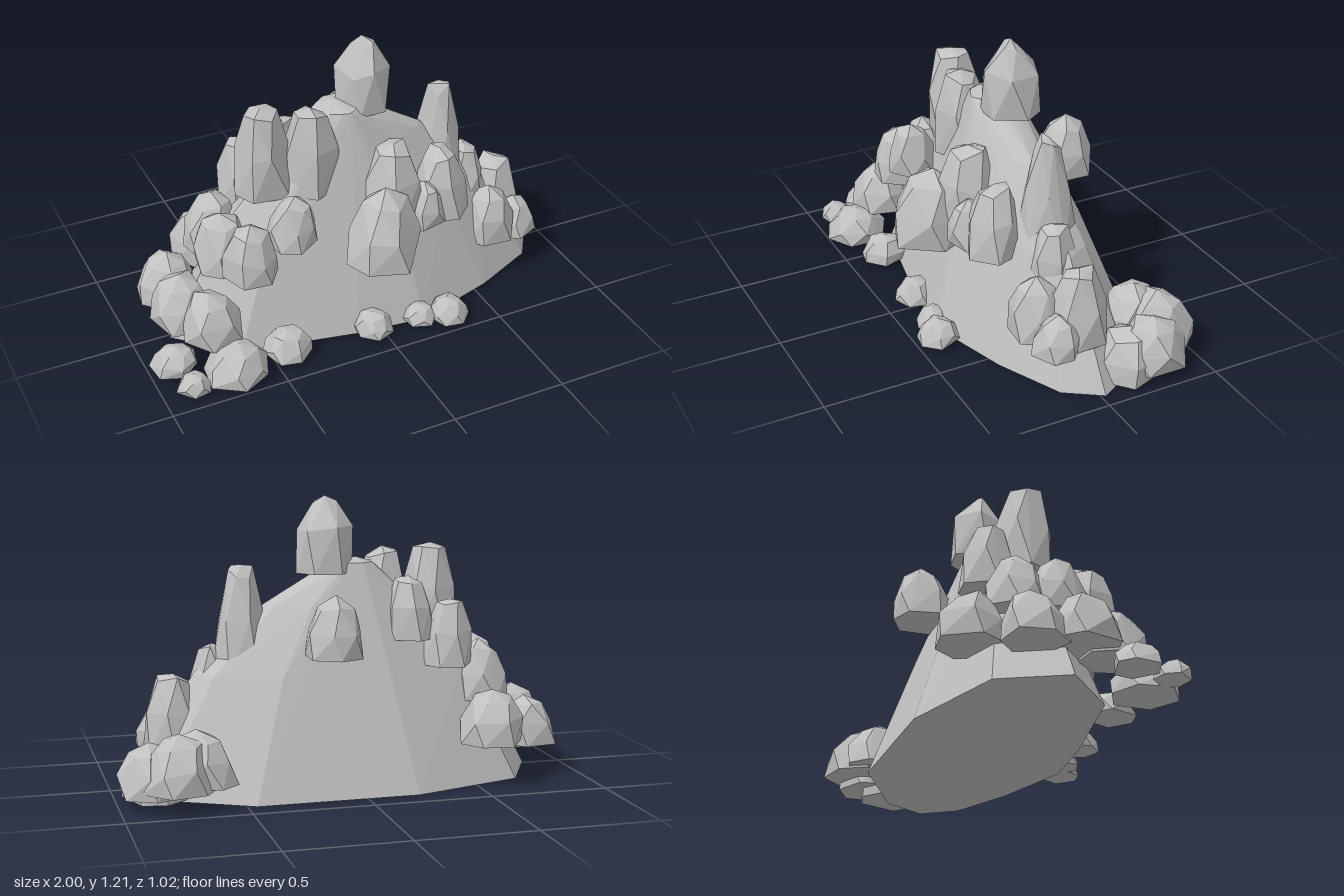
import * as THREE from 'three';
import { ConvexGeometry } from 'three/addons/geometries/ConvexGeometry.js';

const stone = new THREE.MeshStandardMaterial({ color: 0xc0c0c0 });
stone.name = 'stone grey';

function seeded(seed) {
  let s = seed * 7919 + 17;
  const next = () => (s = (s * 16807) % 2147483647) / 2147483647;
  for (let i = 0; i < 5; i++) next();
  return next;
}

function hull(name, points) {
  const mesh = new THREE.Mesh(new ConvexGeometry(points), stone);
  mesh.name = name;
  return mesh;
}

// Rock outlines: ring radius and height as fractions
const profiles = {
  boulder: [[1, 0], [0.93, 0.42], [0.6, 0.82]],
  crag: [[1, 0], [0.88, 0.5], [0.52, 0.92]],
  peak: [[1, 0], [0.93, 0.55], [0.42, 0.88]],
  spire: [[1, 0], [0.72, 0.5], [0.4, 0.94]],
};

// Flat-bottomed faceted rock with uneven rings and a leaning tip
function rock(name, profile, seed, x, y, z, radius, height) {
  const rnd = seeded(seed);
  const sides = 6, turn = rnd() * Math.PI * 2;
  const leanX = (rnd() - 0.5) * 0.3, leanZ = (rnd() - 0.5) * 0.3;
  const at = (angle, r, t) => new THREE.Vector3(
    x + radius * (Math.cos(angle) * r + leanX * t),
    y + height * t,
    z + radius * (Math.sin(angle) * r + leanZ * t));
  const points = [at(0, 0, 1)];
  profile.forEach(([r, t], ring) => {
    for (let i = 0; i < sides; i++) {
      const angle = turn + (i + (ring % 2) * 0.3 + (rnd() - 0.5) * 0.4) / sides * Math.PI * 2;
      const level = ring ? Math.min(t + (rnd() - 0.5) * 0.12, 0.99) : 0;
      points.push(at(angle, r * (1 + rnd() * 0.1), level));
    }
  });
  return hull(name, points);
}

// Rocks of one kind sharing a height-to-radius ratio; each spot is x, y, z, radius
function cluster(name, kind, ratio, spots) {
  const group = new THREE.Group();
  group.name = name + 'Group';
  spots.forEach(([x, y, z, r], i) =>
    group.add(rock(name, profiles[kind], name.length * 10 + i, x, y, z, r, r * ratio)));
  return group;
}

// Central mound: one footprint shrinking towards a narrow crest
function mound() {
  const footprint = [
    [-0.84, 0.02], [-0.7, -0.25], [-0.22, -0.4], [0.46, -0.4], [0.84, -0.2], [0.94, -0.02],
    [0.84, 0.13], [0.56, 0.26], [0.2, 0.37], [-0.1, 0.34], [-0.6, 0.24],
  ];
  const levels = [[0, 1, 1, 0], [0.48, 0.69, 0.6, 0], [0.76, 0.37, 0.36, 0], [0.93, 0.1, 0.24, -0.04]];
  const points = levels.flatMap(([y, sx, sz, shift]) =>
    footprint.map(([x, z]) => new THREE.Vector3(x * sx + shift, y, z * sz)));
  points.push(new THREE.Vector3(-0.05, 0.95, -0.02));
  return hull('mound', points);
}

export function createModel() {
  const group = new THREE.Group();
  group.name = 'rockyOutcrop';
  group.add(
    mound(),
    cluster('summitPeak', 'peak', 2.67, [[0.09, 0.89, -0.035, 0.12]]),
    cluster('rightSpire', 'spire', 3.75, [[0.445, 0.46, -0.015, 0.125]]),
    cluster('tallCrag', 'crag', 3, [[-0.19, 0.61, 0.045, 0.125], [-0.37, 0.61, -0.01, 0.13]]),
    cluster('crag', 'crag', 2.5, [
      [-0.26, 0.61, -0.12, 0.105], [-0.41, 0.5, -0.17, 0.11], [0.12, 0.46, 0.18, 0.135],
      [0.36, 0.42, 0.18, 0.12], [0.555, 0.35, 0.02, 0.1], [0.735, 0.17, 0, 0.125],
    ]),
    // boulders perched on the slopes
    cluster('slopeBoulder', 'boulder', 2.1, [
      [0.11, 0.57, -0.275, 0.122], [0.02, 0.35, 0.32, 0.155], [0.25, 0.42, 0.23, 0.095],
      [-0.355, 0.48, 0.22, 0.105], [-0.53, 0.36, 0.2, 0.115], [-0.59, 0.34, 0.05, 0.12],
      [-0.58, 0.34, -0.11, 0.12], [0.645, 0.18, 0.13, 0.12],
    ]),
    // boulders low on the flanks
    cluster('lowBoulder', 'boulder', 1.65, [
      [-0.57, 0.18, -0.29, 0.135], [-0.8, 0.13, -0.12, 0.125], [-0.8, 0.14, 0.08, 0.13],
      [-0.715, 0.13, 0.23, 0.125], [0.775, 0.16, 0.12, 0.1],
    ]),
    cluster('backBoulder', 'boulder', 1.5, [
      [0.67, 0.09, -0.305, 0.145], [0.77, 0.08, -0.36, 0.15],
      [0.855, 0.05, -0.28, 0.14], [0.835, 0.01, -0.19, 0.14],
    ]),
    // small stones along the front edge
    cluster('groundStone', 'boulder', 1.1, [
      [-0.9, 0.03, 0.24, 0.095], [-0.87, 0.02, 0.395, 0.07], [-0.68, 0.02, 0.37, 0.13],
      [-0.43, 0.02, 0.335, 0.1], [-0.04, 0.02, 0.36, 0.085], [0.17, 0.02, 0.38, 0.07],
      [0.295, 0.02, 0.41, 0.085],
    ]),
  );
  return group;
}
